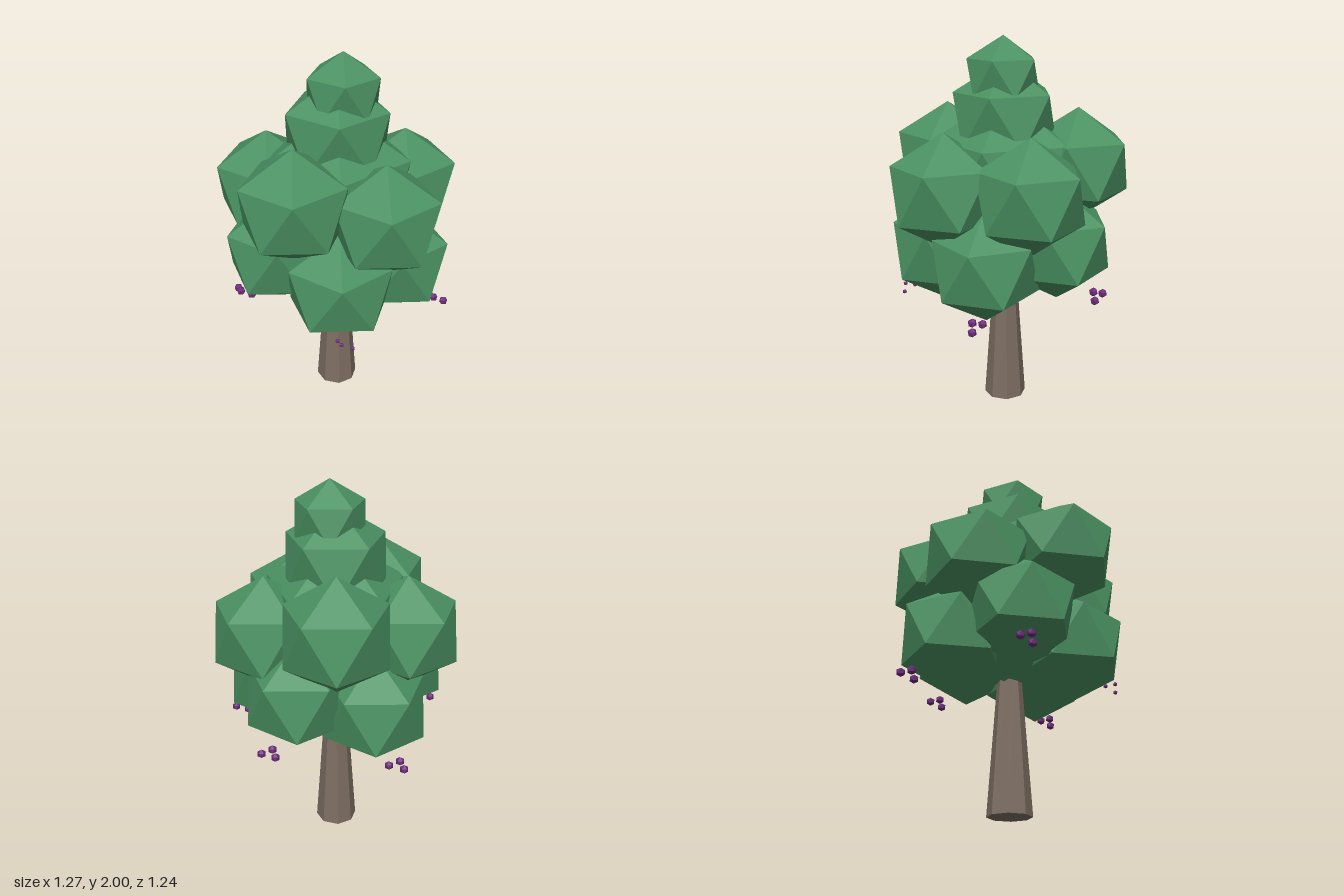
import * as THREE from 'three';

export function createModel() {
  const tree = new THREE.Group();
  tree.name = 'tree';

  const bark = new THREE.MeshStandardMaterial({ color: 0x7d6e62, flatShading: true });
  bark.name = 'bark';
  const leaf = new THREE.MeshStandardMaterial({ color: 0x4a9162, flatShading: true });
  leaf.name = 'leaf green';
  const purple = new THREE.MeshStandardMaterial({ color: 0x6b2a78, flatShading: true });
  purple.name = 'berry purple';

  // Icosahedron standing on a point, with one upper ring corner towards +x
  const ball = new THREE.IcosahedronGeometry(1, 0);
  ball.rotateX(-Math.atan((1 + Math.sqrt(5)) / 2));
  ball.rotateY(Math.PI / 2);

  function addBall(parent, name, material, r, x, y, z) {
    const mesh = new THREE.Mesh(ball, material);
    mesh.name = name;
    mesh.scale.setScalar(r);
    mesh.position.set(x, y, z);
    parent.add(mesh);
  }

  const AXIS = 0.01; // x of the trunk axis

  // Tapered eight-sided trunk
  const trunkGeometry = new THREE.CylinderGeometry(0.062, 0.115, 0.75, 8);
  trunkGeometry.rotateY(Math.PI / 8);
  const trunk = new THREE.Mesh(trunkGeometry, bark);
  trunk.name = 'trunk';
  trunk.position.set(AXIS, 0.375, 0);
  tree.add(trunk);

  // Central stack of foliage
  const crown = new THREE.Group();
  crown.name = 'crown';
  tree.add(crown);
  addBall(crown, 'crownCore', leaf, 0.38, AXIS, 1.03, 0);
  addBall(crown, 'crownMiddle', leaf, 0.425, AXIS, 1.28, 0);
  addBall(crown, 'crownUpper', leaf, 0.3, AXIS, 1.58, 0);
  addBall(crown, 'crownTip', leaf, 0.207, 0.04, 1.793, 0);

  // Two rings of five foliage clumps, every second clump raised
  const rings = [
    { name: 'lowerClump', radius: 0.33, y: 0.885, lift: 0.075, turn: 0 },
    { name: 'upperClump', radius: 0.38, y: 1.245, lift: 0.09, turn: Math.PI / 5 },
  ];
  for (const ring of rings) {
    for (let i = 0; i < 5; i++) {
      const a = ring.turn + (i * Math.PI * 2) / 5;
      addBall(crown, ring.name, leaf, 0.302,
        AXIS + ring.radius * Math.cos(a), ring.y + (i % 2) * ring.lift, -ring.radius * Math.sin(a));
    }
  }

  // Three berries below each lower clump
  const offsets = [[0, 0, 0], [-0.032, -0.015, -0.042], [0.053, -0.025, -0.018]];
  for (let i = 0; i < 5; i++) {
    const a = (i * Math.PI * 2) / 5;
    const bunch = new THREE.Group();
    bunch.name = 'berryBunch';
    bunch.position.set(AXIS + 0.55 * Math.cos(a), 0.665 + (i % 2) * 0.075, -0.55 * Math.sin(a));
    for (const [x, y, z] of offsets) addBall(bunch, 'berry', purple, i === 4 ? 0.012 : 0.024, x, y, z);
    tree.add(bunch);
  }

  return tree;
}
